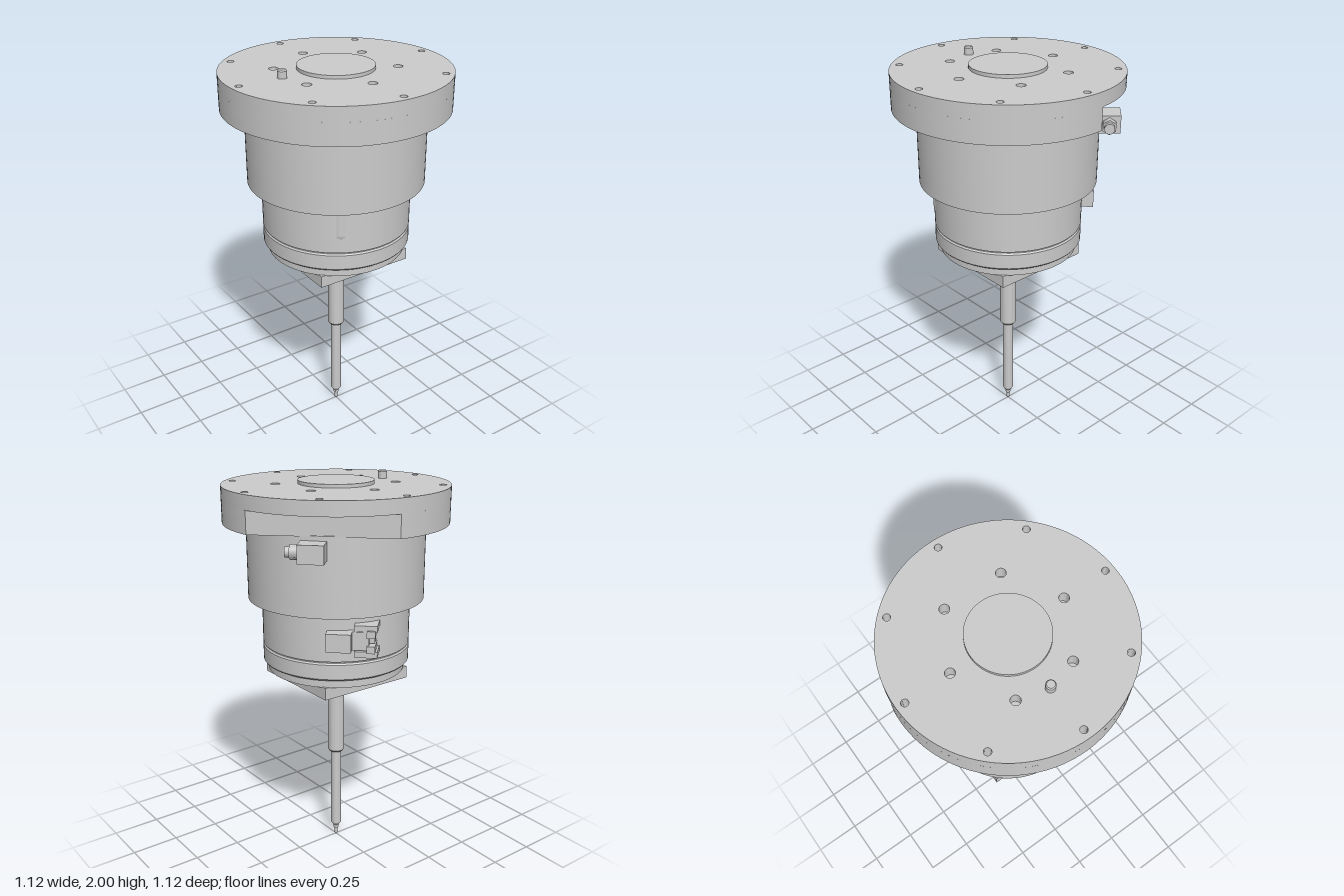
import * as THREE from 'three';
import { toCreasedNormals } from 'three/addons/utils/BufferGeometryUtils.js';

const material = new THREE.MeshStandardMaterial({ color: 0xcccccc });

function add(parent, name, geometry, x = 0, y = 0, z = 0) {
  const mesh = new THREE.Mesh(geometry, material);
  mesh.name = name;
  mesh.position.set(x, y, z);
  parent.add(mesh);
  return mesh;
}

// Horizontal slab between two heights; shape y becomes -z
function slab(shape, holes, y0, y1) {
  for (const [x, y, r] of holes) {
    shape.holes.push(new THREE.Path().absarc(x, y, r, 0, Math.PI * 2, true));
  }
  const g = new THREE.ExtrudeGeometry(shape, { depth: y1 - y0, bevelEnabled: false, curveSegments: shape.userSegments ?? 48 });
  g.rotateX(-Math.PI / 2);
  g.translate(0, y0, 0);
  return toCreasedNormals(g, 0.6);
}

const disc = (r) => new THREE.Shape().absarc(0, 0, r, 0, Math.PI * 2, false);

function ring(count, radius, holeRadius, start = 0) {
  return Array.from({ length: count }, (_, i) => {
    const a = start + (i / count) * Math.PI * 2;
    return [radius * Math.cos(a), radius * Math.sin(a), holeRadius];
  });
}

function turned(points) {
  const g = new THREE.LatheGeometry(points.map(([r, y]) => new THREE.Vector2(r, y)), 72);
  return toCreasedNormals(g, 0.5);
}

export function createModel() {
  const model = new THREE.Group();
  model.name = 'spindleTool';

  // Mounting flange: drilled upper layer and a lower layer with one flat side
  const bolts = ring(8, 0.518, 0.017);
  const blind = ring(6, 0.295, 0.023, Math.PI / 6);
  add(model, 'flangeTop', slab(disc(0.56), [...bolts, ...blind], 1.89, 1.96));
  const half = Math.acos(0.438 / 0.56);
  const cut = new THREE.Shape().absarc(0, 0, 0.56, Math.PI / 4 + half, Math.PI * 2.25 - half, false);
  cut.closePath();
  add(model, 'flangeBottom', slab(cut, bolts.filter((_, i) => i !== 1), 1.78, 1.89));
  add(model, 'centringDisc', turned([[0.188, 1.955], [0.188, 1.977], [0, 1.977]]));
  add(model, 'locatingPin', turned([[0.023, 1.9], [0.023, 1.994], [0.018, 2], [0, 2]]), -0.295, 0, 0);

  // Main housing with blind holes in its underside
  add(model, 'housing', slab(disc(0.445), [], 1.43, 1.785));
  add(model, 'housingRim', slab(disc(0.445), ring(6, 0.411, 0.016, Math.PI / 12), 1.4, 1.43));

  // Stepped lower body with grooves
  add(model, 'lowerBody', turned([
    [0, 1.025], [0.352, 1.025], [0.352, 1.068], [0.37, 1.068], [0.376, 1.076], [0.376, 1.15],
    [0.37, 1.158], [0.362, 1.158], [0.362, 1.166], [0.376, 1.166], [0.376, 1.402],
  ]));

  // Square tool plate with a grid of holes around the hub
  const side = 0.262;
  const square = new THREE.Shape([[-1, -1], [1, -1], [1, 1], [-1, 1]].map(([x, y]) => new THREE.Vector2(x * side, y * side)));
  square.userSegments = 8;
  const holes = [];
  for (let i = -4; i <= 4; i++) {
    for (let j = -4; j <= 4; j++) {
      const x = i * 0.052, y = j * 0.052;
      if (Math.hypot(x, y) < 0.135) continue;
      const large = Math.abs(i) === 3 && Math.abs(j) === 3;
      holes.push([x, y, large ? 0.018 : 0.01]);
    }
  }
  add(model, 'toolPlate', slab(square, holes, 0.965, 1.027));

  // Hub, stepped shaft and pointed tip
  add(model, 'hub', turned([[0, 0.902], [0.112, 0.902], [0.116, 0.906], [0.116, 0.967]]));
  add(model, 'shaft', turned([
    [0, 0.525], [0.037, 0.525], [0.044, 0.535], [0.044, 0.905],
  ]));
  add(model, 'probe', turned([
    [0, 0], [0.006, 0], [0.009, 0.012], [0.009, 0.035], [0.015, 0.045], [0.015, 0.06],
    [0.021, 0.068], [0.028, 0.08], [0.028, 0.527],
  ]));

  // Slightly raised cable boss on the front of the lower body
  const boss = new THREE.Group();
  boss.name = 'cableBoss';
  boss.rotation.y = -0.53;
  add(boss, 'bossBody', new THREE.CapsuleGeometry(0.05, 0.12, 6, 16), 0, 1.32, 0.331);
  model.add(boss);

  // Connectors: local x points outward, local z runs along the flat
  const connectors = new THREE.Group();
  connectors.name = 'connectors';
  connectors.rotation.y = Math.PI / 4;
  model.add(connectors);
  const box = (name, x0, x1, y0, y1, z0, z1) => add(connectors, name,
    new THREE.BoxGeometry(x1 - x0, y1 - y0, z1 - z0), (x0 + x1) / 2, (y0 + y1) / 2, (z0 + z1) / 2);

  box('upperConnector', 0.42, 0.54, 1.675, 1.762, -0.022, 0.1);
  const nut = add(connectors, 'upperConnectorNut', new THREE.CylinderGeometry(0.036, 0.036, 0.04, 6).toNonIndexed(), 0.485, 1.718, 0.12);
  const plug = add(connectors, 'upperConnectorPlug', new THREE.CylinderGeometry(0.025, 0.025, 0.03, 20), 0.485, 1.718, 0.147);
  nut.rotation.x = plug.rotation.x = Math.PI / 2;

  box('lowerConnector', 0.34, 0.435, 1.235, 1.325, -0.13, -0.01);
  box('lowerConnectorCore', 0.23, 0.385, 1.235, 1.325, -0.21, -0.12);
  for (const y of [1.2, 1.328]) {
    box('clampArm', 0.24, 0.39, y, y + 0.03, -0.25, -0.14);
  }
  for (const y of [1.225, 1.3]) {
    box('clampJaw', 0.27, 0.4, y, y + 0.035, -0.24, -0.2);
  }
  box('clampLatch', 0.3, 0.36, 1.265, 1.295, -0.235, -0.2);

  return model;
}
